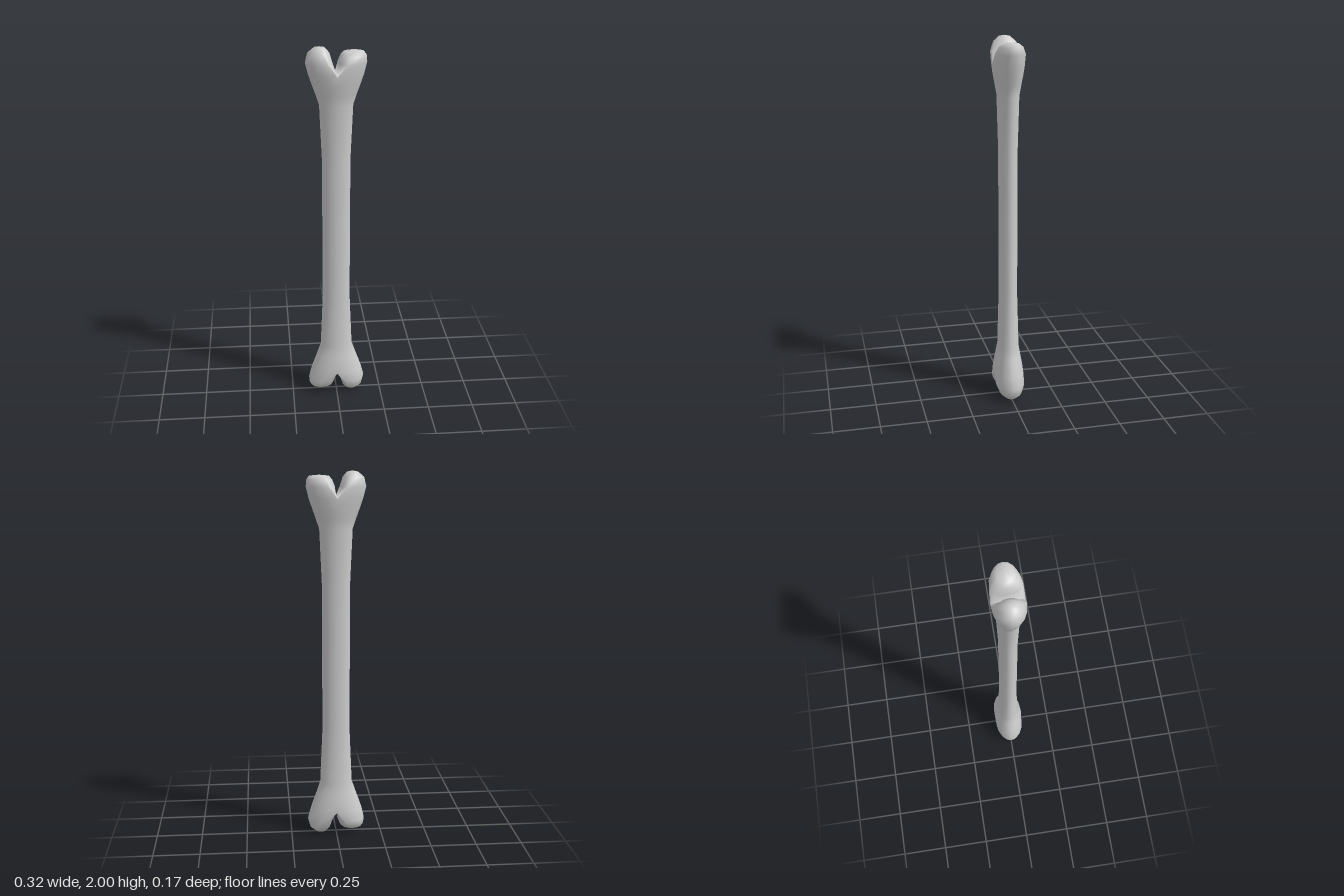
import * as THREE from 'three';
import { mergeGeometries, mergeVertices } from 'three/addons/utils/BufferGeometryUtils.js';

const SIDES = 16;

// Rows are [y, innerX, midX, outerX, halfDepth]; side = 1 or -1 turns the loft about y.
function loft(rows, side, capY) {
  const pos = [], index = [];
  for (const [y, inner, mid, outer, depth] of rows) {
    for (let j = 0; j < SIDES; j++) {
      const a = (j / SIDES) * Math.PI * 2, c = Math.cos(a);
      const x = mid + (c > 0 ? outer - mid : mid - inner) * c;
      pos.push(side * x, y, side * depth * Math.sin(a));
    }
  }
  for (let i = 0; i < rows.length - 1; i++) {
    for (let j = 0; j < SIDES; j++) {
      const k = (j + 1) % SIDES;
      const a = i * SIDES + j, b = i * SIDES + k, c = a + SIDES, d = b + SIDES;
      index.push(a, c, b, b, c, d);
    }
  }
  // Rounded tip closing the last ring
  if (capY !== undefined) {
    const last = (rows.length - 1) * SIDES, tip = rows.length * SIDES;
    pos.push(side * rows[rows.length - 1][2], capY, 0);
    for (let j = 0; j < SIDES; j++) index.push(last + j, tip, last + ((j + 1) % SIDES));
  }
  const geo = new THREE.BufferGeometry();
  geo.setAttribute('position', new THREE.Float32BufferAttribute(pos, 3));
  geo.setIndex(index);
  return geo;
}

export function createModel() {
  // Upper half of the shaft, flaring toward the fork
  const shaft = [
    [1.0, 0.075, 0.05], [1.4, 0.075, 0.05], [1.7, 0.088, 0.058],
    [1.76, 0.108, 0.068], [1.81, 0.126, 0.077], [1.86, 0.143, 0.083],
  ].map(([y, w, d]) => [y, -w, 0, w, d]);

  // Each knob starts as half of the shaft's last ring and rounds off upward
  const forkBase = [1.86, 0, 0, 0.143, 0.083];
  const flatKnob = [
    forkBase,
    [1.92, 0.006, 0.05, 0.157, 0.079],
    [1.955, 0.02, 0.068, 0.154, 0.064],
    [1.974, 0.037, 0.088, 0.14, 0.038],
  ];
  const roundKnob = [
    forkBase,
    [1.92, 0.02, 0.05, 0.158, 0.08],
    [1.968, 0.034, 0.075, 0.146, 0.06],
    [1.994, 0.056, 0.085, 0.115, 0.03],
  ];

  const upper = mergeGeometries([
    loft(shaft, 1),
    loft(flatKnob, 1, 1.979),
    loft(roundKnob, -1, 2.0),
  ]);

  // The lower half is the upper half turned end over end
  const lower = upper.clone().rotateZ(Math.PI).translate(0, 2, 0);
  const geometry = mergeVertices(mergeGeometries([upper, lower]), 1e-4);
  geometry.computeVertexNormals();

  const bone = new THREE.Mesh(geometry, new THREE.MeshStandardMaterial({ color: 0xcccccc }));
  bone.name = 'bone';
  const group = new THREE.Group();
  group.name = 'longBone';
  group.add(bone);
  return group;
}
